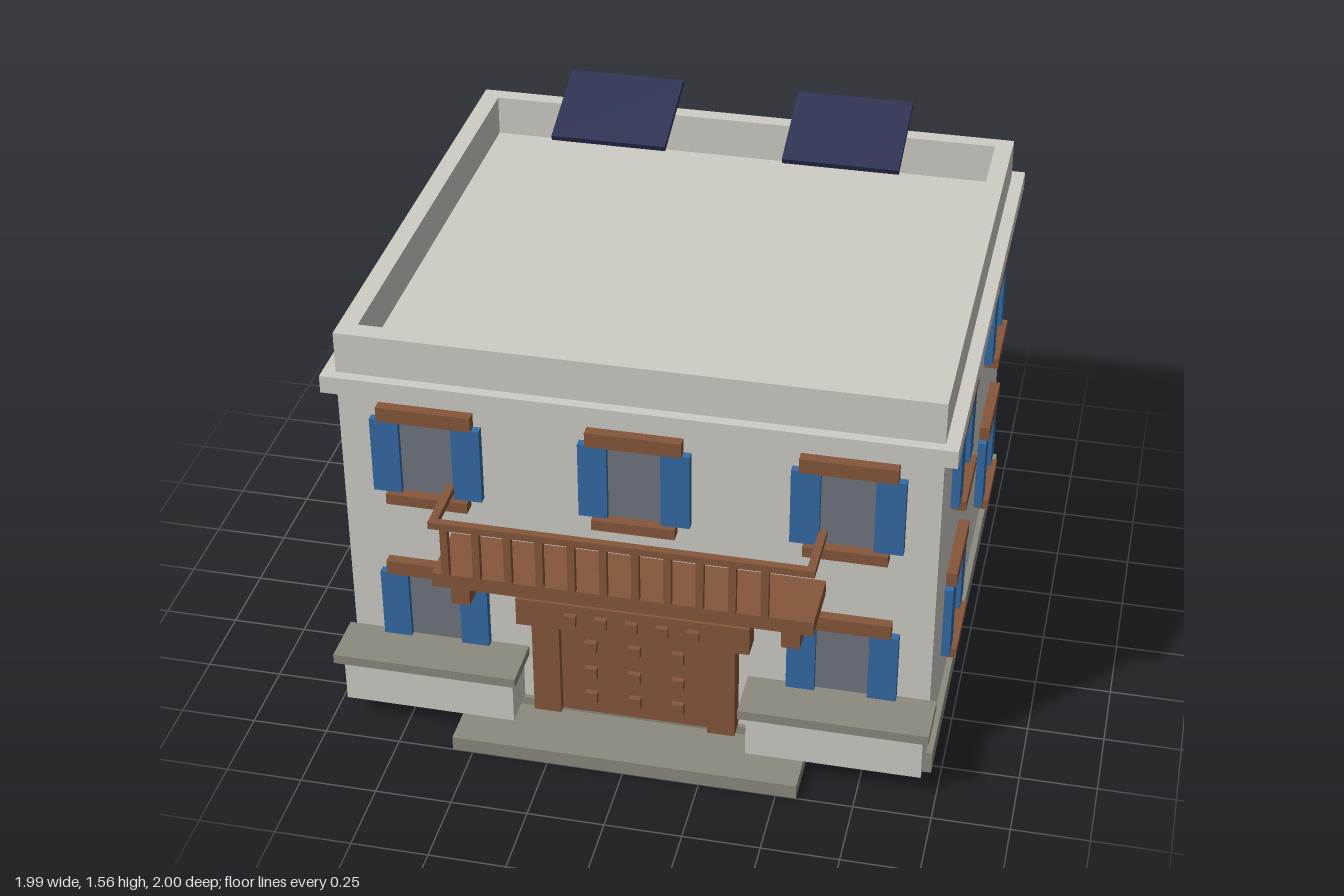
import * as THREE from 'three';

const mat = (name, color) => {
  const m = new THREE.MeshStandardMaterial({ color });
  m.name = name;
  return m;
};

export function createModel() {
  const house = new THREE.Group();
  house.name = 'house';

  const plaster = mat('plaster', 0xcfcdc5);
  const stone = mat('stone', 0x8d897e);
  const wood = mat('wood', 0x85573a);
  const blue = mat('shutterBlue', 0x346ba5);
  const glass = mat('glass', 0x707581);
  const solar = mat('solarPanel', 0x293050);

  // Box given by its extents on each axis
  const box = (parent, name, m, [x0, x1], [y0, y1], [z0, z1]) => {
    const mesh = new THREE.Mesh(new THREE.BoxGeometry(x1 - x0, y1 - y0, z1 - z0), m);
    mesh.position.set((x0 + x1) / 2, (y0 + y1) / 2, (z0 + z1) / 2);
    mesh.name = name;
    parent.add(mesh);
    return mesh;
  };
  const group = (name) => {
    const g = new THREE.Group();
    g.name = name;
    house.add(g);
    return g;
  };

  // Walls, plinth and cornice
  const W = 0.95, F = 0.77, B = -0.95;
  box(house, 'plinth', stone, [-0.97, 0.97], [0, 0.08], [-0.97, 0.785]);
  box(house, 'walls', plaster, [-W, W], [0.08, 1.25], [B, F]);
  box(house, 'cornice', plaster, [-0.993, 0.993], [1.2, 1.26], [-0.993, 0.805]);

  // Parapet ring round the flat roof
  const rect = (S, x, z0, z1) => {
    const s = new S();
    s.moveTo(-x, z0).lineTo(x, z0).lineTo(x, z1).lineTo(-x, z1).closePath();
    return s;
  };
  const ring = rect(THREE.Shape, W, -F, -B);
  ring.holes.push(rect(THREE.Path, W - 0.06, -F + 0.065, -B - 0.055));
  const parapet = new THREE.Mesh(
    new THREE.ExtrudeGeometry(ring, { depth: 0.14, bevelEnabled: false }), plaster);
  parapet.rotation.x = -Math.PI / 2;
  parapet.position.y = 1.26;
  parapet.name = 'parapet';
  house.add(parapet);

  // Window with shutters; its origin lies on the wall at the foot of the glass
  const addWindow = (x, y, z, turn) => {
    const g = group('window');
    box(g, 'pane', glass, [-0.085, 0.085], [0, 0.265], [0, 0.009]);
    for (const s of [-1, 1]) {
      box(g, 'shutter', blue, [s * 0.131 - 0.046, s * 0.131 + 0.046], [0, 0.265], [0, 0.028]);
    }
    box(g, 'windowLintel', wood, [-0.152, 0.152], [0.265, 0.315], [0, 0.035]);
    box(g, 'windowSill', wood, [-0.133, 0.133], [-0.037, 0], [0, 0.046]);
    g.position.set(x, y, z);
    g.rotation.y = turn;
  };
  for (const y of [0.265, 0.852]) {
    for (const s of [-1, 1]) {
      addWindow(s * 0.667, y, F, 0);
      addWindow(s * 0.505, y, B, Math.PI);
      for (const z of [0.335, -0.527]) addWindow(s * W, y, z, s * Math.PI / 2);
    }
  }
  addWindow(0, 0.852, F, 0);

  // Studded door
  const door = group('door');
  box(door, 'doorLeaf', wood, [-0.243, 0.243], [0.08, 0.43], [F, 0.81]);
  box(door, 'doorLintel', wood, [-0.38, 0.38], [0.43, 0.53], [F, 0.848]);
  for (const s of [-1, 1]) {
    box(door, 'doorPost', wood, [s * 0.288 - 0.045, s * 0.288 + 0.045], [0.08, 0.43], [F, 0.836]);
  }
  const stud = (x, y, z) =>
    box(door, 'stud', wood, [x - 0.02, x + 0.02], [y - 0.02, y + 0.02], [z, z + 0.02]);
  for (const y of [0.15, 0.25, 0.355]) for (const x of [-0.143, 0, 0.143]) stud(x, y, 0.81);
  for (let i = -2; i <= 2; i++) stud(i * 0.1, 0.48, 0.846);

  // Doorstep and the low walls beside it
  box(house, 'doorstep', stone, [-0.567, 0.567], [0, 0.05], [0.78, 1]);
  for (const s of [-1, 1]) {
    const span = (a, b) => (s > 0 ? [a, b] : [-b, -a]);
    box(house, 'lowWall', plaster, span(0.383, W), [0.08, 0.25], [F, 0.91]);
    box(house, 'lowWallCap', stone, span(0.363, 0.972), [0.25, 0.283], [F, 0.95]);
  }

  // Balcony with brackets and railing
  const balcony = group('balcony');
  box(balcony, 'balconyFloor', wood, [-0.605, 0.605], [0.65, 0.7], [F, 0.99]);
  box(balcony, 'frontRail', wood, [-0.605, 0.605], [0.876, 0.9], [0.974, 1]);
  for (const s of [-1, 1]) {
    box(balcony, 'bracket', wood, [s * 0.528 - 0.03, s * 0.528 + 0.03], [0.56, 0.65], [F, 0.95]);
    box(balcony, 'sideRail', wood, [s * 0.592 - 0.013, s * 0.592 + 0.013], [0.876, 0.9], [F, 0.974]);
  }
  for (let i = 0; i < 11; i++) {
    const x = -0.557 + i * 0.101;
    box(balcony, 'baluster', wood, [x - 0.012, x + 0.012], [0.7, 0.876], [0.976, 0.998]);
  }

  // Tilted solar panels above the roof
  for (const s of [-1, 1]) {
    const panel = box(house, 'solarPanel', solar,
      [s * 0.403 - 0.2, s * 0.403 + 0.2], [1.485, 1.505], [-0.868, -0.548]);
    panel.rotation.x = 0.35;
  }

  return house;
}
